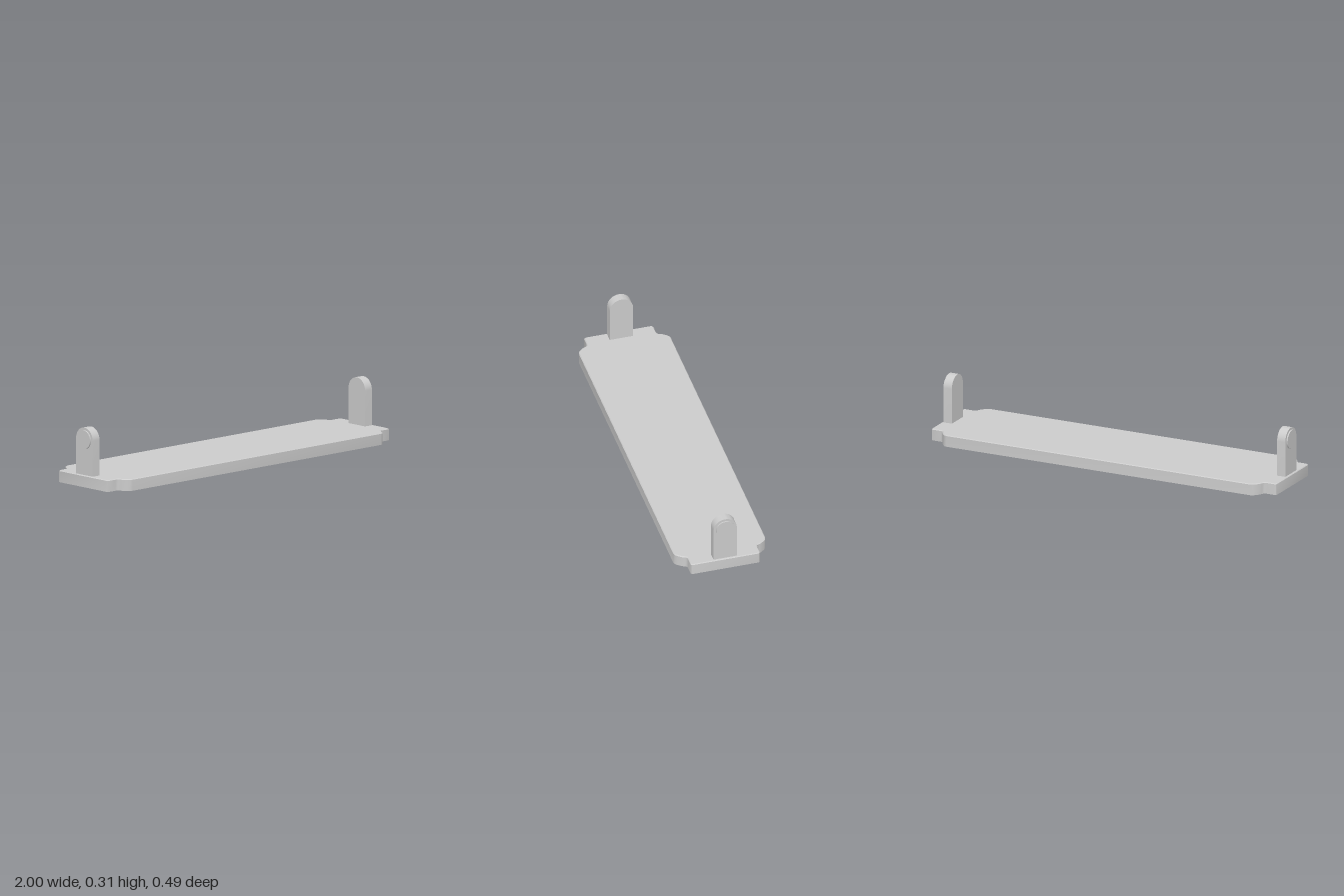
import * as THREE from 'three';
import { toCreasedNormals } from 'three/addons/utils/BufferGeometryUtils.js';

const TOP = 0.062, BEVEL = 0.004;
const POST_HALF = 0.0625, POST_IN = 0.942, POST_OUT = 0.99, PEG_Y = 0.249;

const material = new THREE.MeshStandardMaterial({ color: 0xcccccc, side: THREE.DoubleSide });

// One corner of the tray outline, from the narrow end round to the long side
const corner = [
  [1, 0.176], [0.997, 0.183], [0.99, 0.186], [0.945, 0.186], [0.935, 0.188],
  [0.928, 0.194], [0.925, 0.202], [0.92, 0.213], [0.905, 0.232], [0.893, 0.243], [0.88, 0.247],
];

function trayOutline() {
  const mirror = (sx, sy) => corner.map(([x, y]) => new THREE.Vector2(x * sx, y * sy));
  return [...mirror(1, 1), ...mirror(-1, 1).reverse(), ...mirror(-1, -1), ...mirror(1, -1).reverse()];
}

const inset = (p) => new THREE.Vector2(p.x - Math.sign(p.x) * BEVEL, p.y - Math.sign(p.y) * BEVEL);

// Thin skirt with a narrow bevel at its upper rim
function skirtGeometry(outline) {
  const rings = [
    outline.map((p) => [p.x, 0, -p.y]),
    outline.map((p) => [p.x, TOP - BEVEL, -p.y]),
    outline.map(inset).map((p) => [p.x, TOP, -p.y]),
  ];
  const positions = [];
  const n = outline.length;
  for (let r = 0; r < rings.length - 1; r++) {
    for (let i = 0; i < n; i++) {
      const j = (i + 1) % n;
      const a = rings[r][i], b = rings[r][j], c = rings[r + 1][j], d = rings[r + 1][i];
      positions.push(...a, ...b, ...c, ...a, ...c, ...d);
    }
  }
  const geometry = new THREE.BufferGeometry();
  geometry.setAttribute('position', new THREE.Float32BufferAttribute(positions, 3));
  return toCreasedNormals(geometry, 0.7);
}

// Top sheet with an opening below each hollow post
function deckGeometry(outline) {
  const shape = new THREE.Shape(outline.map(inset));
  for (const s of [-1, 1]) {
    shape.holes.push(new THREE.Path([
      new THREE.Vector2(s * POST_IN, -POST_HALF), new THREE.Vector2(s * POST_OUT, -POST_HALF),
      new THREE.Vector2(s * POST_OUT, POST_HALF), new THREE.Vector2(s * POST_IN, POST_HALF),
    ]));
  }
  return new THREE.ShapeGeometry(shape).rotateX(-Math.PI / 2).translate(0, TOP, 0);
}

// Round-topped post, hollow and open at its foot
function postGeometry() {
  const shape = new THREE.Shape();
  shape.moveTo(-POST_HALF, TOP);
  shape.lineTo(POST_HALF, TOP);
  shape.lineTo(POST_HALF, PEG_Y);
  shape.absarc(0, PEG_Y, POST_HALF, 0, Math.PI, false);
  shape.lineTo(-POST_HALF, TOP);
  const solid = new THREE.ExtrudeGeometry(shape, {
    depth: POST_OUT - POST_IN, bevelEnabled: false, curveSegments: 14,
  }).toNonIndexed();
  const source = solid.attributes.position;
  const kept = [];
  for (let t = 0; t < source.count; t += 3) {
    const isFoot = [0, 1, 2].every((k) => source.getY(t + k) < TOP + 1e-4);
    if (!isFoot) for (let k = 0; k < 3; k++) kept.push(source.getX(t + k), source.getY(t + k), source.getZ(t + k));
  }
  const geometry = new THREE.BufferGeometry();
  geometry.setAttribute('position', new THREE.Float32BufferAttribute(kept, 3));
  geometry.rotateY(Math.PI / 2).translate(POST_IN, 0, 0);
  return toCreasedNormals(geometry, 0.6);
}

function part(name, geometry) {
  const mesh = new THREE.Mesh(geometry, material);
  mesh.name = name;
  return mesh;
}

export function createModel() {
  const model = new THREE.Group();
  model.name = 'trayWithPosts';

  const outline = trayOutline();
  const tray = new THREE.Group();
  tray.name = 'tray';
  tray.add(part('skirt', skirtGeometry(outline)), part('deck', deckGeometry(outline)));
  model.add(tray);

  // Posts at both ends, each with a shallow round peg facing outwards
  for (const [side, turn] of [['left', 0], ['right', Math.PI]]) {
    const support = new THREE.Group();
    support.name = side + 'Support';
    const peg = part('peg', new THREE.CylinderGeometry(0.05, 0.05, 0.008, 24)
      .rotateZ(-Math.PI / 2).translate(POST_OUT + 0.003, PEG_Y, 0));
    support.add(part('post', postGeometry()), peg);
    support.rotation.y = turn;
    model.add(support);
  }
  return model;
}
